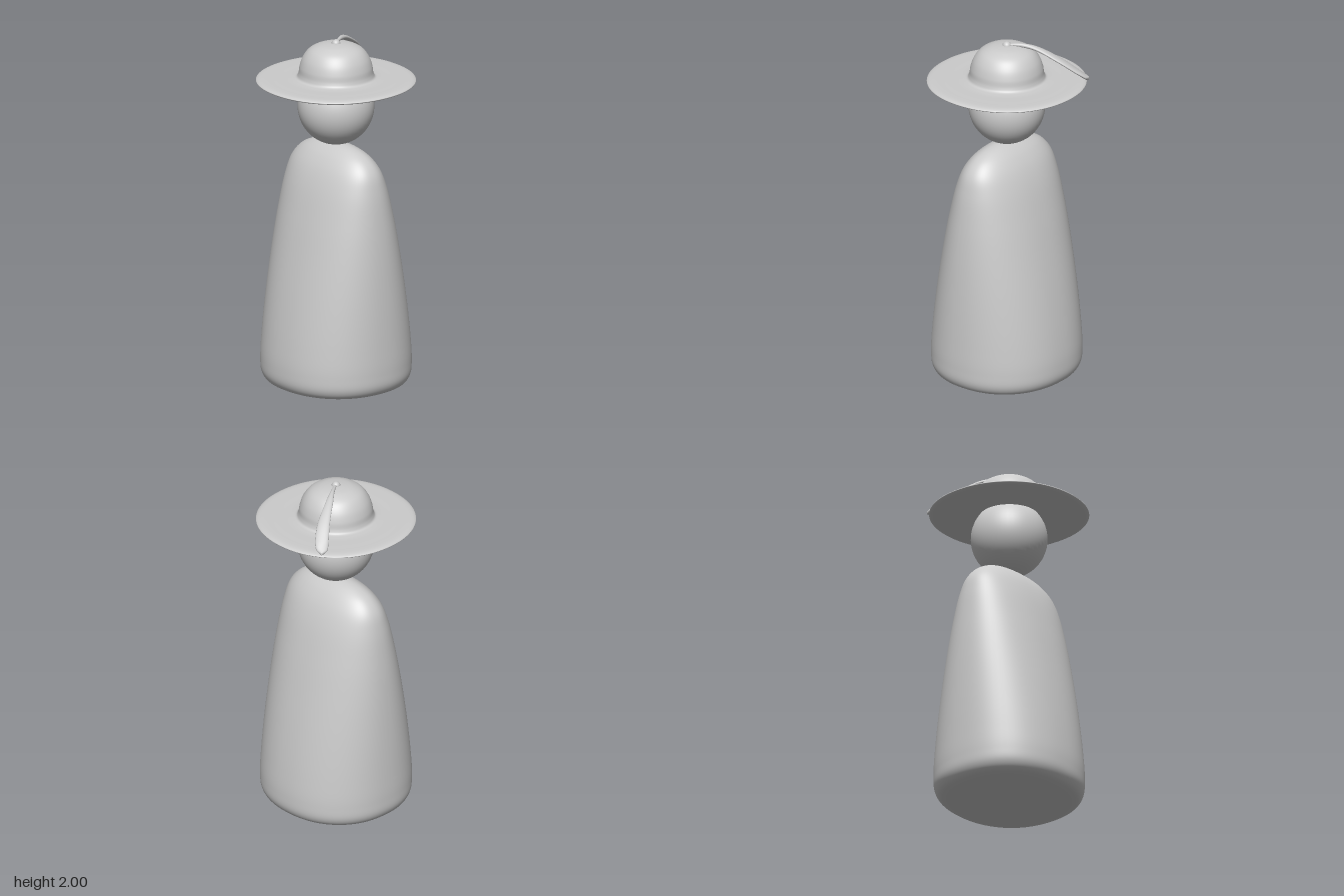
import * as THREE from 'three';

const material = new THREE.MeshStandardMaterial({ color: 0xcccccc, side: THREE.DoubleSide });
const V = (x, y, z) => new THREE.Vector3(x, y, z);

// Closed-ring loft: point(i, angle) gives the surface position of ring i
function loft(rings, sides, point) {
  const pos = [], index = [];
  for (let i = 0; i < rings; i++) {
    for (let j = 0; j < sides; j++) {
      pos.push(...point(i, (j / sides) * Math.PI * 2).toArray());
      if (i === rings - 1) continue;
      const a = i * sides + j, b = i * sides + ((j + 1) % sides);
      index.push(a, a + sides, b + sides, a, b + sides, b);
    }
  }
  const g = new THREE.BufferGeometry();
  g.setAttribute('position', new THREE.Float32BufferAttribute(pos, 3));
  g.setIndex(index);
  g.computeVertexNormals();
  return g;
}

// Softly squared solid; profile entries are [halfWidth, y, halfDepth] from bottom to top
function roundedBody(profile, power, steps) {
  const pts = new THREE.CatmullRomCurve3(profile.map(p => V(...p)), false, 'centripetal').getPoints(steps);
  const bend = c => Math.sign(c) * Math.pow(Math.abs(c), 2 / power);
  return loft(pts.length, 72, (i, a) =>
    V(pts[i].x * bend(Math.cos(a)), pts[i].y, pts[i].z * bend(Math.sin(a))));
}

// Tapering curved leaf; stations are [x, y, z, halfWidth]
function featherGeometry(stations, thickness) {
  const path = new THREE.CatmullRomCurve3(stations.map(s => V(s[0], s[1], s[2])));
  const widths = new THREE.CatmullRomCurve3(stations.map((s, i) => V(i, s[3], 0)));
  const n = 48;
  return loft(n + 1, 20, (i, a) => {
    const u = i / n, c = path.getPoint(u), t = path.getTangent(u);
    const side = V(0, 1, 0).cross(t).negate().normalize();
    const up = side.clone().cross(t);
    const w = Math.max(widths.getPoint(u).y, 0.0005);
    return c.addScaledVector(side, w * Math.cos(a))
      .addScaledVector(up, Math.min(w, thickness) * Math.sin(a));
  });
}

export function createModel() {
  const group = new THREE.Group();
  const add = (name, geometry) => {
    const mesh = new THREE.Mesh(geometry, material);
    mesh.name = name;
    group.add(mesh);
    return mesh;
  };

  // Cloaked body: wide rounded base rising to a shoulder ridge
  add('body', roundedBody([
    [0.001, 0, 0.001], [0.2, 0.002, 0.19], [0.33, 0.009, 0.31], [0.39, 0.028, 0.37],
    [0.415, 0.07, 0.395], [0.421, 0.15, 0.4], [0.419, 0.3, 0.387], [0.41, 0.55, 0.35],
    [0.395, 0.8, 0.302], [0.376, 1.0, 0.257], [0.35, 1.18, 0.206], [0.32, 1.28, 0.163],
    [0.265, 1.345, 0.118], [0.19, 1.384, 0.074], [0.1, 1.404, 0.034], [0.001, 1.41, 0.001],
  ], 2.2, 110));

  // Head
  const head = add('head', new THREE.SphereGeometry(1, 48, 32));
  head.scale.set(0.213, 0.218, 0.215);
  head.position.y = 1.614;

  // Hat: brim underside, thin rim, flared crown base and dome
  add('hat', roundedBody([
    [0.001, 1.757, 0.001], [0.2, 1.754, 0.2], [0.36, 1.752, 0.36], [0.425, 1.755, 0.425],
    [0.439, 1.764, 0.439], [0.425, 1.773, 0.425], [0.34, 1.777, 0.34], [0.245, 1.778, 0.245],
    [0.215, 1.785, 0.215], [0.206, 1.805, 0.206], [0.2, 1.845, 0.2], [0.183, 1.895, 0.183],
    [0.15, 1.94, 0.15], [0.1, 1.967, 0.1], [0.05, 1.977, 0.05], [0.001, 1.98, 0.001],
  ], 2.1, 110));

  // Button on the crown
  add('hatButton', new THREE.SphereGeometry(0.025, 24, 16)).position.y = 1.975;

  // Feather sweeping from the button to the back right of the brim
  add('feather', featherGeometry([
    [0, 1.982, 0, 0.006], [-0.05, 1.98, -0.075, 0.012], [-0.095, 1.962, -0.14, 0.021],
    [-0.165, 1.896, -0.25, 0.034], [-0.222, 1.835, -0.32, 0.038],
    [-0.256, 1.8, -0.352, 0.03], [-0.273, 1.783, -0.37, 0.0005],
  ], 0.012));

  return group;
}
